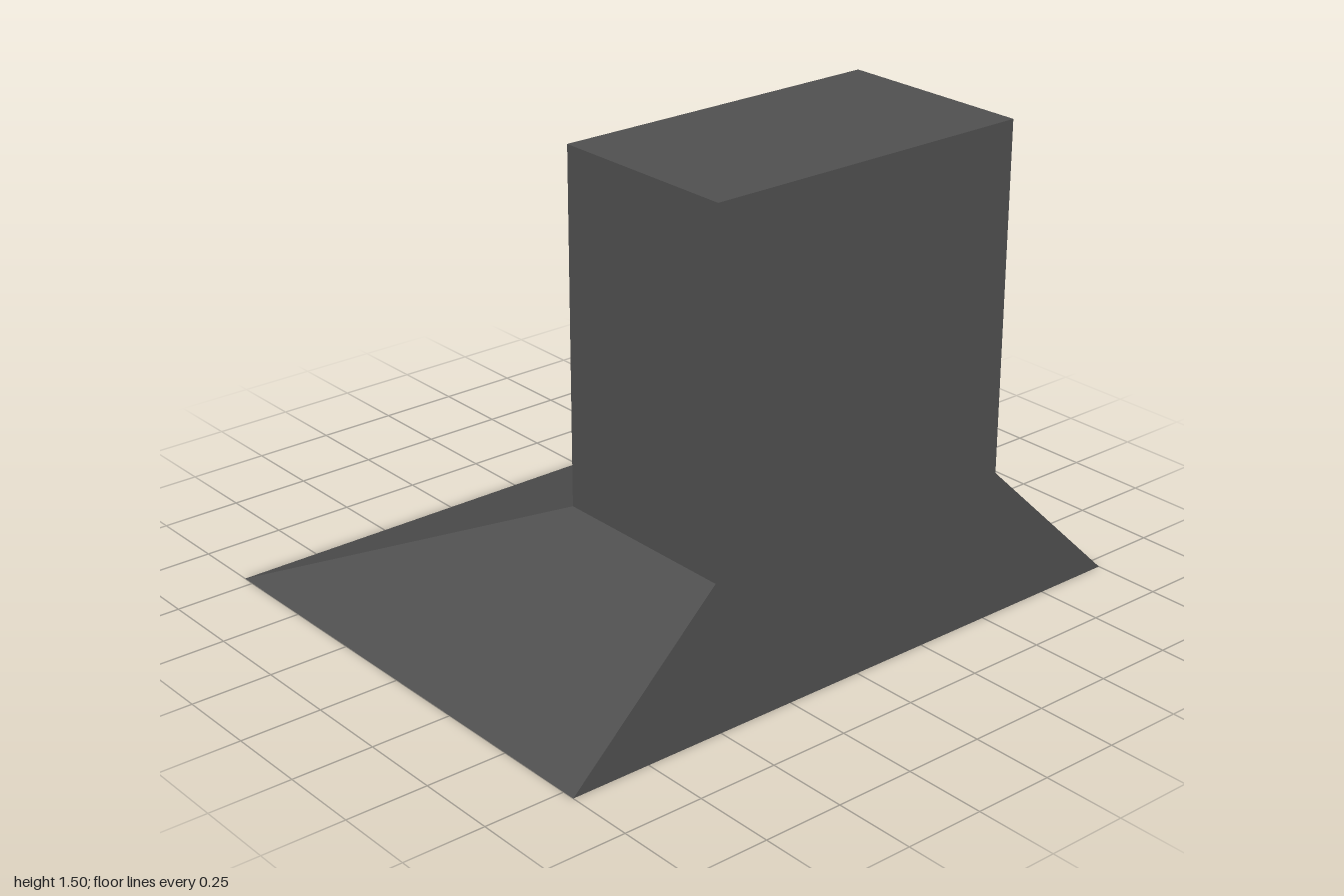
import * as THREE from 'three';

// Rectangular cross-section at height y, corners counter-clockwise seen from above
const ring = (x0, x1, z, y) => [[x0, y, z], [x1, y, z], [x1, y, -z], [x0, y, -z]];

// Joins successive rings with flat quads; optional end faces
function loft(rings, { startCap = false, endCap = false } = {}) {
  const pos = [];
  const quad = (a, b, c, d) => pos.push(...a, ...b, ...c, ...a, ...c, ...d);
  for (let r = 0; r < rings.length - 1; r++) {
    const a = rings[r], b = rings[r + 1];
    for (let i = 0; i < 4; i++) {
      const j = (i + 1) % 4;
      quad(a[i], a[j], b[j], b[i]);
    }
  }
  if (startCap) quad(...[...rings[0]].reverse());
  if (endCap) quad(...rings[rings.length - 1]);
  const g = new THREE.BufferGeometry();
  g.setAttribute('position', new THREE.Float32BufferAttribute(pos, 3));
  g.computeVertexNormals();
  return g;
}

export function createModel() {
  const group = new THREE.Group();
  group.name = 'rangeHood';
  const metal = new THREE.MeshStandardMaterial({ color: 0x505050 });
  metal.name = 'darkMetal';

  const add = (name, geometry) => {
    const mesh = new THREE.Mesh(geometry, metal);
    mesh.name = name;
    group.add(mesh);
  };

  const wall = 0.79, neckX = 0.19, neckZ = 0.523, neckY = 0.455, top = 1.502;
  const neck = ring(neckX, wall, neckZ, neckY);
  const outerRim = ring(-wall, wall, 1, 0);
  const innerRim = ring(-0.665, 0.69, 0.9, 0);

  // Sloped outer shell
  add('canopy', loft([outerRim, neck]));
  // Flat border under the canopy
  add('bottomRim', loft([innerRim, outerRim]));
  // Hollow underside, narrowing up to the neck
  add('innerCavity', loft([neck, innerRim], { startCap: true }));
  // Upright duct against the wall side
  add('chimney', loft([neck, ring(neckX, wall, neckZ, top)], { endCap: true }));

  return group;
}
